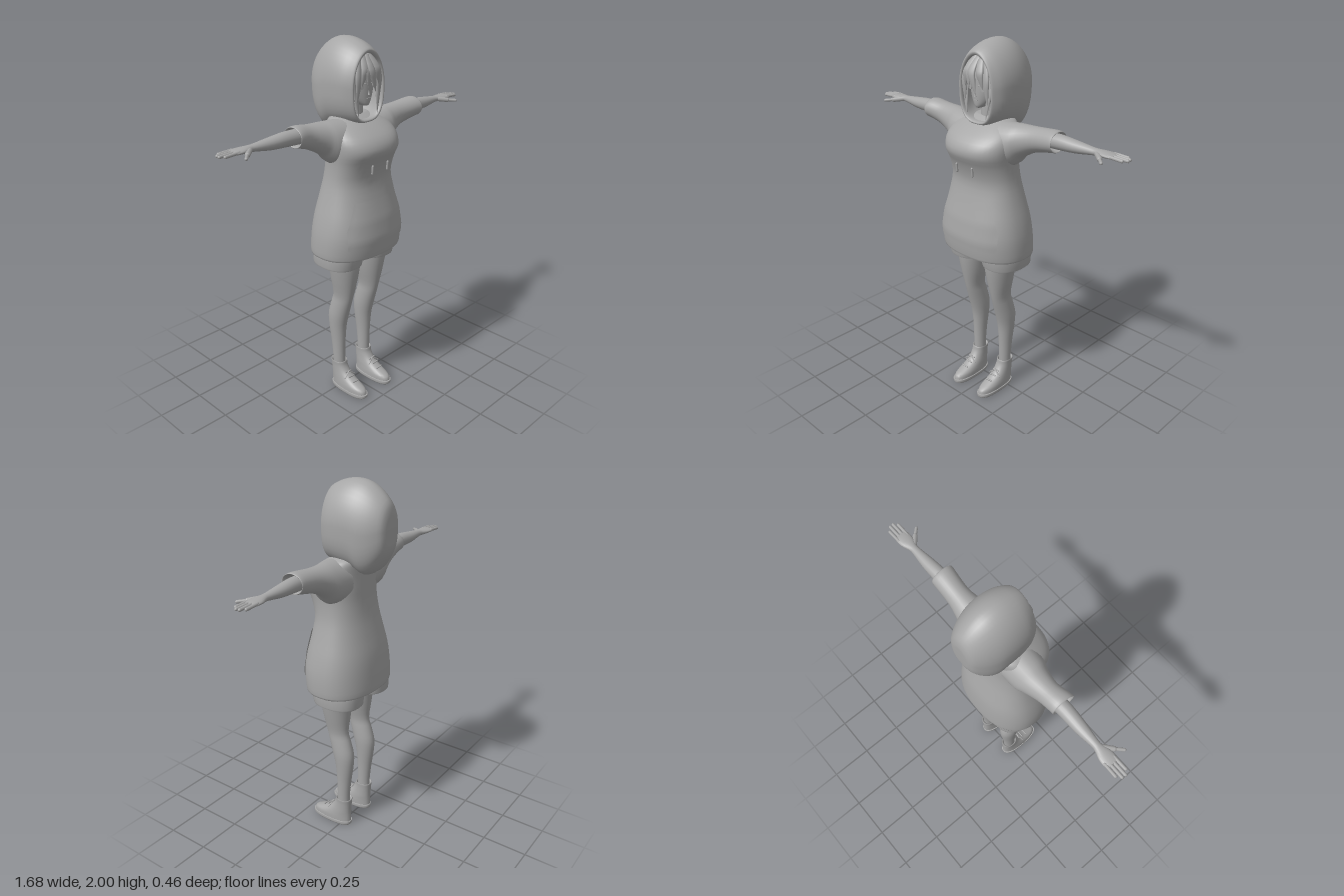
import * as THREE from 'three';

const clay = new THREE.MeshStandardMaterial({ color: 0xa6a6a6, side: THREE.DoubleSide });
clay.name = 'clay grey';

// Catmull-Rom subdivision of section rows, column by column
function refine(rows, steps) {
  const out = [], last = rows.length - 1;
  const at = i => rows[Math.min(last, Math.max(0, i))];
  for (let i = 0; i < last; i++) for (let s = 0; s < steps; s++) {
    const t = s / steps;
    out.push(rows[i].map((p, c) => {
      const a = at(i - 1)[c], b = at(i + 1)[c], d = at(i + 2)[c];
      return p + 0.5 * t * (b - a + t * (2 * a - 5 * p + 4 * b - d + t * (3 * (p - b) + d - a)));
    }));
  }
  out.push(rows[last]);
  return out;
}

// Skin through sections [t, uMin, uMax, vMin, vMax]; axis y: u=x v=z, axis x: u=z v=y, axis z: u=y v=x
function loft(axis, rows, { n = 28, e = [1, 1], caps = [true, true], steps = 3 } = {}) {
  const pos = [], idx = [], secs = refine(rows, steps);
  const put = (t, u, v) => {
    if (axis === 'y') pos.push(u, t, v);
    else if (axis === 'x') pos.push(t, v, u);
    else pos.push(v, u, t);
  };
  const pw = (c, k) => Math.sign(c) * Math.abs(c) ** k;
  for (const [t, u0, u1, v0, v1] of secs) for (let j = 0; j < n; j++) {
    const a = j / n * Math.PI * 2, c = Math.cos(a), s = Math.sin(a), k = c >= 0 ? e[0] : e[1];
    put(t, (u0 + u1) / 2 + (u1 - u0) / 2 * pw(c, k), (v0 + v1) / 2 + (v1 - v0) / 2 * pw(s, k));
  }
  for (let i = 0; i < secs.length - 1; i++) for (let j = 0; j < n; j++) {
    const a = i * n + j, b = i * n + (j + 1) % n;
    idx.push(a, a + n, b, b, a + n, b + n);
  }
  [0, secs.length - 1].forEach((r, end) => {
    if (!caps[end]) return;
    const [t, u0, u1, v0, v1] = secs[r], m = pos.length / 3;
    put(t, (u0 + u1) / 2, (v0 + v1) / 2);
    for (let j = 0; j < n; j++) {
      const a = r * n + j, b = r * n + (j + 1) % n;
      idx.push(m, end ? b : a, end ? a : b);
    }
  });
  const g = new THREE.BufferGeometry();
  g.setAttribute('position', new THREE.Float32BufferAttribute(pos, 3));
  g.setIndex(idx);
  g.computeVertexNormals();
  return g;
}

function mirrored(g) {
  const m = g.clone().scale(-1, 1, 1), ix = m.index.array;
  for (let i = 0; i < ix.length; i += 3) [ix[i], ix[i + 1]] = [ix[i + 1], ix[i]];
  return m;
}

// Rounded bar between two points
function bar(a, b, r) {
  const p = new THREE.Vector3(...a), q = new THREE.Vector3(...b), d = q.clone().sub(p);
  const g = new THREE.CapsuleGeometry(r, d.length(), 4, 8);
  g.applyQuaternion(new THREE.Quaternion().setFromUnitVectors(new THREE.Vector3(0, 1, 0), d.normalize()));
  return g.translate(...p.add(q).multiplyScalar(0.5).toArray());
}

export function createModel() {
  const model = new THREE.Group();
  model.name = 'hoodedFigure';
  const add = (name, g) => {
    const m = new THREE.Mesh(g, clay);
    m.name = name;
    model.add(m);
  };
  const pair = (name, g) => { add(name + 'Left', g); add(name + 'Right', mirrored(g)); };

  // Hoodie body, starting with the turned-in hem
  const body = [[0.93, 0.245, -0.14, 0.185], [0.895, 0.255, -0.155, 0.205], [0.9, 0.265, -0.165, 0.213],
    [1.0, 0.263, -0.16, 0.222], [1.1, 0.246, -0.148, 0.21], [1.2, 0.22, -0.125, 0.187], [1.3, 0.197, -0.102, 0.172],
    [1.39, 0.192, -0.09, 0.195], [1.46, 0.198, -0.088, 0.226], [1.52, 0.2, -0.085, 0.205], [1.57, 0.185, -0.083, 0.145],
    [1.61, 0.14, -0.08, 0.08], [1.625, 0.08, -0.05, 0.05]];
  const bodyE = 0.86;
  add('hoodieBody', loft('y', body.map(([y, w, b, f]) => [y, -w, w, b, f]),
    { n: 40, e: [bodyE, bodyE], caps: [false, true] }));

  // Front pocket, laid just over the body surface
  const frontZ = (x, y) => {
    let i = 2;
    while (i < body.length - 2 && body[i + 1][0] < y) i++;
    const k = (y - body[i][0]) / (body[i + 1][0] - body[i][0]);
    const [, w, b, f] = body[i].map((v, c) => THREE.MathUtils.lerp(v, body[i + 1][c], k));
    return (b + f) / 2 + (f - b) / 2 * Math.max(0, 1 - Math.abs(x / w) ** (2 / bodyE)) ** (bodyE / 2);
  };
  const pocket = new THREE.PlaneGeometry(2, 1, 20, 12), pp = pocket.attributes.position;
  for (let i = 0; i < pp.count; i++) {
    const y = 1.08 + pp.getY(i) * 0.25;
    const x = pp.getX(i) * (y > 1.06 ? THREE.MathUtils.mapLinear(y, 1.06, 1.205, 0.205, 0.15) : 0.205);
    pp.setXYZ(i, x, y, frontZ(x, y) + 0.007);
  }
  pocket.computeVertexNormals();
  add('frontPocket', pocket);

  // Drawstring ends
  pair('drawstring', bar([0.055, 1.39, frontZ(0.055, 1.39) + 0.005], [0.055, 1.35, frontZ(0.055, 1.35) + 0.012], 0.006));

  // Sleeves with turned-in cuffs, the left one a little longer
  const sleeve = end => loft('x', [[0.1, -0.078, 0.13, 1.39, 1.612], [0.19, -0.076, 0.115, 1.4, 1.617],
    [0.24, -0.066, 0.09, 1.45, 1.618], [0.32, -0.05, 0.072, 1.495, 1.622], [end - 0.03, -0.046, 0.08, 1.52, 1.632],
    [end, -0.044, 0.083, 1.527, 1.628], [end - 0.015, -0.036, 0.073, 1.535, 1.62], [end - 0.06, -0.03, 0.06, 1.54, 1.61]],
  { caps: [false, false] });
  add('sleeveLeft', sleeve(0.455));
  add('sleeveRight', mirrored(sleeve(0.42)));

  // Arms and hands
  pair('arm', loft('x', [[0.32, -0.03, 0.05, 1.535, 1.61], [0.45, -0.028, 0.048, 1.54, 1.615],
    [0.55, -0.026, 0.04, 1.545, 1.606], [0.64, -0.017, 0.027, 1.558, 1.596], [0.67, -0.02, 0.028, 1.561, 1.594],
    [0.71, -0.034, 0.038, 1.564, 1.592], [0.75, -0.036, 0.038, 1.567, 1.589], [0.765, -0.03, 0.032, 1.572, 1.585]], { n: 20 }));
  [[-0.028, 0.81], [-0.009, 0.831], [0.01, 0.833], [0.029, 0.815]].forEach(([z, tip], i) =>
    pair('finger' + (i + 1), bar([0.74, 1.58, z * 0.95], [tip, 1.577, z], 0.0085)));
  pair('thumbBase', bar([0.675, 1.576, 0.02], [0.715, 1.57, 0.055], 0.013));
  pair('thumb', bar([0.71, 1.571, 0.05], [0.748, 1.567, 0.088], 0.0085));

  // Hood: back to opening, then folded inward
  const hood = [[-0.228, 1.7, 1.84, 0.045], [-0.215, 1.645, 1.9, 0.08], [-0.17, 1.57, 1.95, 0.116], [-0.115, 1.535, 1.985, 0.139],
    [-0.06, 1.56, 1.999, 0.147], [0.0, 1.57, 1.997, 0.148], [0.06, 1.58, 1.98, 0.14], [0.1, 1.585, 1.96, 0.122],
    [0.114, 1.595, 1.945, 0.11], [0.098, 1.605, 1.93, 0.101], [0.03, 1.6, 1.945, 0.115], [-0.06, 1.6, 1.95, 0.115]];
  add('hood', loft('z', hood.map(([z, b, t, w]) => [z, b, t, -w, w]), { n: 40, e: [1.06, 0.72] }));

  // Neck and head
  add('neck', new THREE.CylinderGeometry(0.042, 0.05, 0.14, 16).translate(0, 1.63, 0.01));
  add('head', loft('y', [[1.672, 0.012, 0.07, 0.1], [1.682, 0.03, 0.03, 0.108], [1.715, 0.064, -0.04, 0.111],
    [1.77, 0.088, -0.08, 0.112], [1.85, 0.09, -0.085, 0.108], [1.91, 0.06, -0.06, 0.085], [1.935, 0.02, -0.02, 0.04]]
    .map(([y, w, b, f]) => [y, -w, w, b, f])));
  // Facial features
  pair('eye', new THREE.CylinderGeometry(0.013, 0.013, 0.005, 16).rotateX(Math.PI / 2)
    .scale(1, 1.1, 1).rotateY(0.25).translate(0.042, 1.772, 0.103));
  pair('eyelid', bar([0.022, 1.785, 0.112], [0.064, 1.786, 0.092], 0.003));
  pair('eyebrow', bar([0.022, 1.81, 0.111], [0.06, 1.814, 0.094], 0.002));
  add('nose', new THREE.ConeGeometry(0.007, 0.025, 8).translate(0, 1.742, 0.113));
  add('mouth', new THREE.BoxGeometry(0.026, 0.003, 0.006).translate(0, 1.712, 0.111));

  // Hair locks: root, middle and tip as [x, y, z], widest at the middle
  const lock = ([rx, ry, rz], [mx, my, mz], [tx, ty, tz], w) => loft('y',
    [[tx, ty, tz, 0.001], [(tx + mx) / 2, (ty + my) / 2, (tz + mz) / 2 + 0.004, w * 0.7], [mx, my, mz, w], [rx, ry, rz, w * 0.5]]
      .map(([x, y, z, h]) => [y, x - h, x + h, z - h * 0.45, z + h * 0.45]), { n: 10 });
  [-1, 1].forEach(s => {
    const side = s > 0 ? 'Left' : 'Right';
    add('sideLock' + side, lock([s * 0.05, 1.925, 0.07], [s * 0.086, 1.8, 0.088], [s * 0.066, 1.625, 0.108], 0.02));
    add('cheekLock' + side, lock([s * 0.04, 1.93, 0.085], [s * 0.07, 1.83, 0.11], [s * 0.078, 1.69, 0.106], 0.02));
    add('fringe' + side, lock([s * 0.02, 1.93, 0.085], [s * 0.04, 1.865, 0.123], [s * 0.06, 1.775, 0.122], 0.024));
  });
  add('fringeMiddle', lock([0, 1.925, 0.09], [-0.006, 1.86, 0.131], [0.024, 1.745, 0.135], 0.024));
  add('fringeInner', lock([0.01, 1.925, 0.09], [-0.026, 1.86, 0.127], [-0.024, 1.77, 0.132], 0.019));

  // Shorts
  pair('shortsLeg', loft('y', [[0.86, 0.016, 0.222, -0.115, 0.13], [0.822, 0.012, 0.23, -0.125, 0.14],
    [0.826, 0.008, 0.235, -0.13, 0.145], [0.9, 0.0, 0.236, -0.13, 0.155], [0.98, -0.01, 0.21, -0.11, 0.14]],
  { e: [0.85, 0.85], caps: [false, true] }));

  // Legs
  pair('leg', loft('y', [[0.12, 0.068, 0.132, -0.045, 0.028], [0.2, 0.068, 0.134, -0.046, 0.028], [0.3, 0.065, 0.138, -0.056, 0.03],
    [0.4, 0.057, 0.146, -0.07, 0.037], [0.48, 0.052, 0.151, -0.073, 0.055], [0.56, 0.054, 0.148, -0.052, 0.078],
    [0.62, 0.055, 0.147, -0.036, 0.094], [0.72, 0.034, 0.167, -0.046, 0.115], [0.82, 0.02, 0.184, -0.058, 0.13],
    [0.92, 0.012, 0.195, -0.08, 0.135]]));

  // Shoes: sole, upper with open collar, laces
  pair('shoeSole', loft('y', [[0, 0.054, 0.143, -0.052, 0.198], [0.008, 0.05, 0.147, -0.056, 0.205],
    [0.024, 0.05, 0.147, -0.056, 0.205]], { e: [0.8, 0.8] }));
  pair('shoeUpper', loft('y', [[0.018, 0.053, 0.144, -0.053, 0.2], [0.045, 0.053, 0.144, -0.053, 0.192],
    [0.065, 0.055, 0.142, -0.053, 0.15], [0.085, 0.057, 0.14, -0.053, 0.105], [0.115, 0.06, 0.138, -0.054, 0.065],
    [0.15, 0.061, 0.138, -0.056, 0.042], [0.176, 0.06, 0.14, -0.058, 0.036], [0.168, 0.067, 0.133, -0.047, 0.028]],
  { e: [0.88, 0.88], caps: [true, false] }));
  [[0.078, 0.122], [0.097, 0.09], [0.118, 0.064]].forEach(([y, z], i) =>
    pair('lace' + (i + 1), bar([0.08, y, z], [0.118, y + 0.004, z], 0.004)));
  pair('laceLoopOuter', bar([0.1, 0.122, 0.068], [0.138, 0.096, 0.076], 0.0035));
  pair('laceLoopInner', bar([0.098, 0.122, 0.068], [0.062, 0.096, 0.076], 0.0035));

  return model;
}
